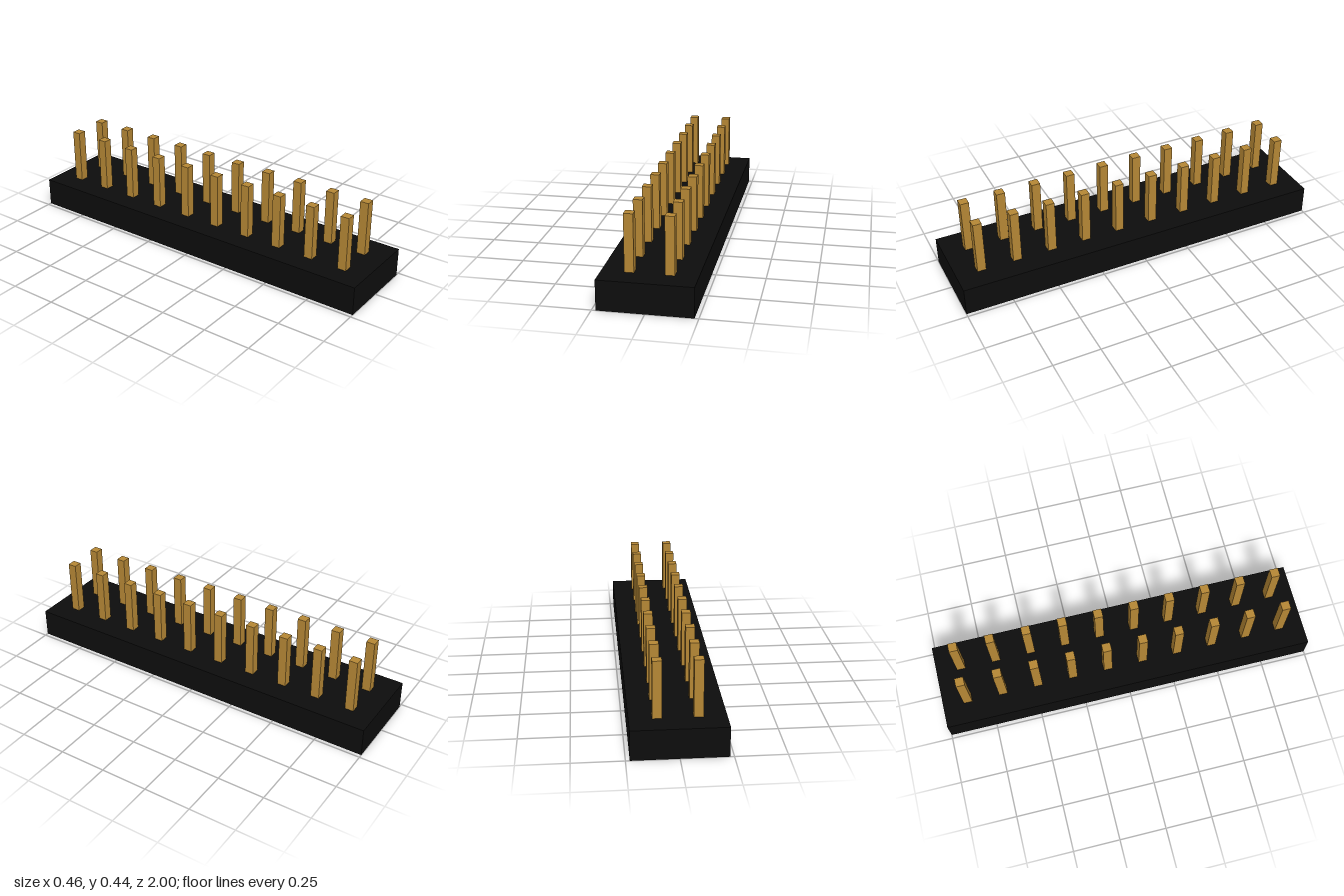
import * as THREE from 'three';

export function createModel() {
  const group = new THREE.Group();
  group.name = 'pinHeader';

  const plastic = new THREE.MeshStandardMaterial({ color: 0x0d0d0d });
  plastic.name = 'black plastic';
  const brass = new THREE.MeshStandardMaterial({ color: 0xb58735 });
  brass.name = 'gold metal';

  const baseHeight = 0.152;
  const pinTop = 0.441;
  const pinWidth = 0.046;
  const pitch = 0.1925;
  const rows = 10;

  // Housing block
  const base = new THREE.Mesh(new THREE.BoxGeometry(0.46, baseHeight, 2), plastic);
  base.name = 'housing';
  base.position.y = baseHeight / 2;
  group.add(base);

  // Two columns of square pins, set slightly into the housing
  const pinBottom = baseHeight - 0.02;
  const pinGeometry = new THREE.BoxGeometry(pinWidth, pinTop - pinBottom, pinWidth);
  for (const side of [-1, 1]) {
    for (let i = 0; i < rows; i++) {
      const pin = new THREE.Mesh(pinGeometry, brass);
      pin.name = `${side > 0 ? 'left' : 'right'}Pin${i + 1}`;
      pin.position.set(side * pitch / 2, (pinTop + pinBottom) / 2, (i - (rows - 1) / 2) * pitch);
      group.add(pin);
    }
  }
  return group;
}
